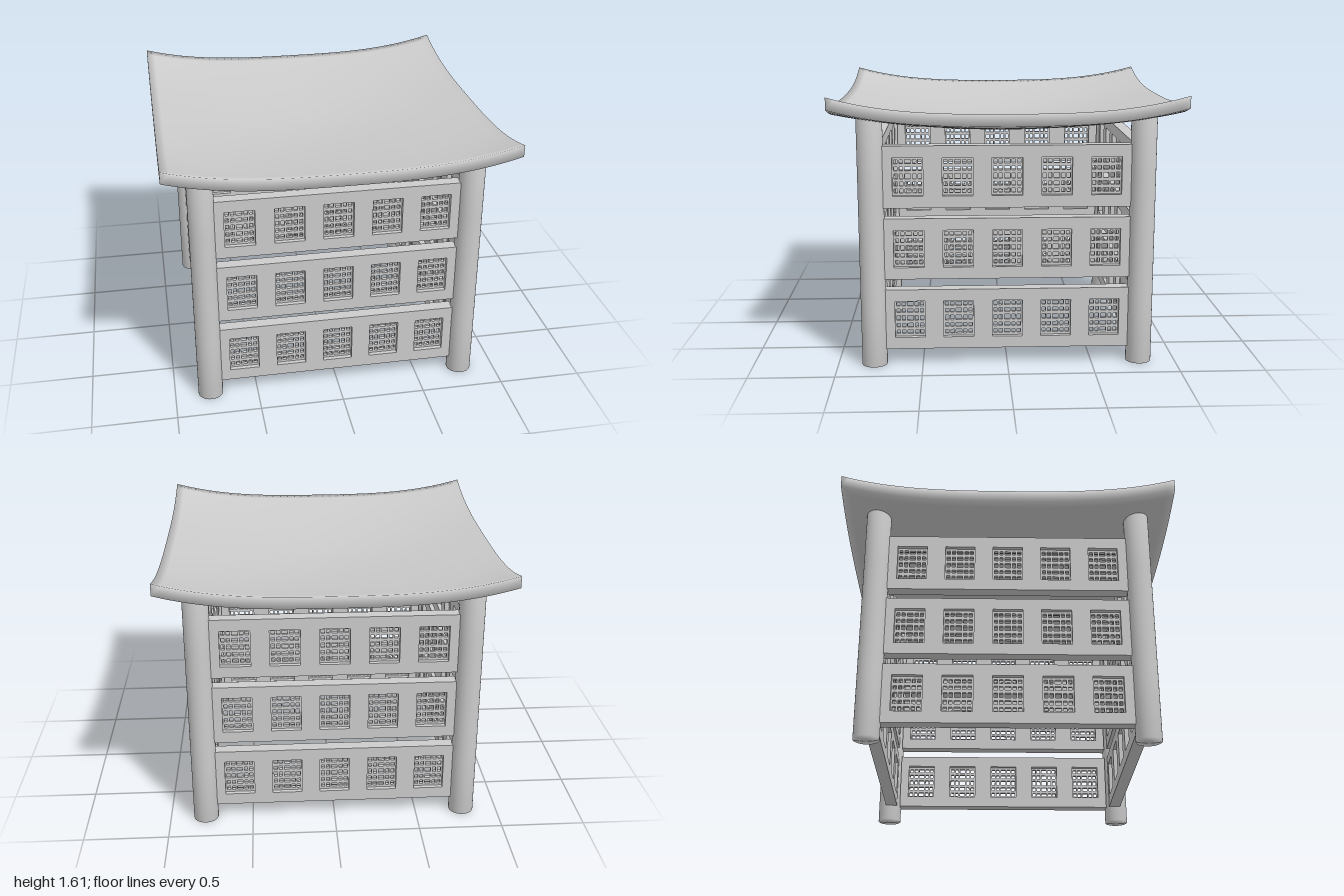
import * as THREE from 'three';
import { mergeVertices } from 'three/addons/utils/BufferGeometryUtils.js';

const TAU = Math.PI * 2;
const PILLAR = { pos: 0.785, radius: 0.075, height: 1.475 };
const WALL = { front: 0.808, depth: 0.075, width: 1.43, height: 0.362 };
const TIERS = [0.276, 0.702, 1.126];
const WINDOW = { w: 0.176, h: 0.222 };

// Shared vertices give soft shading across the edges
function soften(geometry) {
  geometry.deleteAttribute('normal');
  geometry.deleteAttribute('uv');
  const merged = mergeVertices(geometry, 1e-4);
  merged.computeVertexNormals();
  return merged;
}

function rectanglePath(target, cx, cy, w, h) {
  target.moveTo(cx - w / 2, cy - h / 2);
  target.lineTo(cx + w / 2, cy - h / 2);
  target.lineTo(cx + w / 2, cy + h / 2);
  target.lineTo(cx - w / 2, cy + h / 2);
  target.closePath();
  return target;
}

function extrude(shape, depth, z) {
  const g = new THREE.ExtrudeGeometry(shape, { depth, bevelEnabled: false });
  return g.translate(0, 0, z);
}

// Centre and size of each opening in one direction of the lattice
function openings(sizes, bar) {
  const total = sizes.reduce((a, b) => a + b, 0) + bar * (sizes.length - 1);
  let at = -total / 2;
  return sizes.map((size) => {
    const centre = at + size / 2;
    at += size + bar;
    return { centre, size };
  });
}

// Sagging slab with upswept corners
function roofGeometry() {
  const g = new THREE.BoxGeometry(2, 0.07, 2, 40, 1, 40);
  const p = g.attributes.position;
  for (let i = 0; i < p.count; i++) {
    const x = Math.abs(p.getX(i)), z = Math.abs(p.getZ(i));
    const sx = x ** 1.8, sz = z ** 1.8;
    const lift = 0.12 * (sx + sz - sx * sz) + 0.095 * (x * z) ** 3;
    p.setY(i, p.getY(i) + 1.355 + lift);
  }
  return soften(g);
}

export function createModel() {
  const model = new THREE.Group();
  model.name = 'pavilion';
  const material = new THREE.MeshStandardMaterial({ color: 0xcccccc });

  const add = (parent, geometry, name, x = 0, y = 0, z = 0) => {
    const mesh = new THREE.Mesh(geometry, material);
    mesh.name = name;
    mesh.position.set(x, y, z);
    parent.add(mesh);
  };

  add(model, roofGeometry(), 'roof');

  // Round corner pillars
  const { pos, radius, height } = PILLAR;
  const pillar = soften(new THREE.CylinderGeometry(radius, radius, height, 32, 4));
  for (const sx of [-1, 1]) {
    for (const sz of [-1, 1]) add(model, pillar, 'pillar', sx * pos, height / 2, sz * pos);
  }

  // Wall panel with a window opening
  const panelWidth = WALL.width / 5;
  const panelShape = rectanglePath(new THREE.Shape(), 0, 0, panelWidth, WALL.height);
  panelShape.holes.push(rectanglePath(new THREE.Path(), 0, 0, WINDOW.w, WINDOW.h));
  const panel = extrude(panelShape, WALL.depth, -WALL.depth);

  // Recessed five by five lattice
  const latticeShape = rectanglePath(new THREE.Shape(), 0, 0, WINDOW.w, WINDOW.h);
  const columns = openings([0.02, 0.02, 0.034, 0.02, 0.02], 0.011);
  const rows = openings([0.023, 0.023, 0.03, 0.023, 0.023], 0.018);
  for (const c of columns) {
    for (const r of rows) {
      latticeShape.holes.push(rectanglePath(new THREE.Path(), c.centre, r.centre, c.size, r.size));
    }
  }
  const lattice = extrude(latticeShape, 0.02, -WALL.depth / 2 - 0.01);

  // Four walls, each three tiers of five panels
  for (let side = 0; side < 4; side++) {
    const wall = new THREE.Group();
    wall.name = ['frontWall', 'leftWall', 'backWall', 'rightWall'][side];
    wall.rotation.y = (side * TAU) / 4;
    for (const y of TIERS) {
      for (let i = -2; i <= 2; i++) {
        add(wall, panel, 'wallPanel', i * panelWidth, y, WALL.front);
        add(wall, lattice, 'windowLattice', i * panelWidth, y, WALL.front);
      }
    }
    model.add(wall);
  }
  return model;
}
